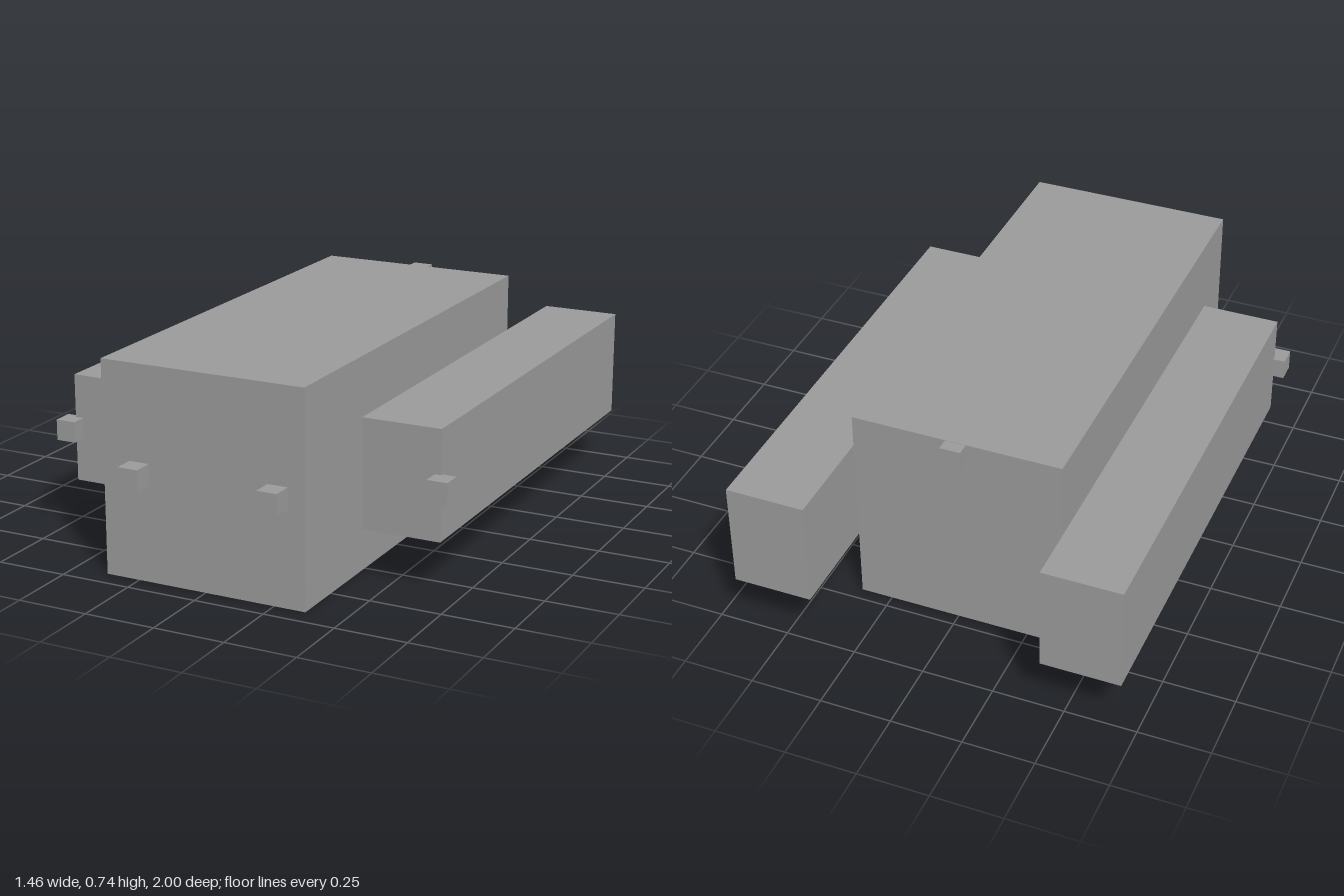
import * as THREE from 'three';

export function createModel() {
  const group = new THREE.Group();
  const grey = new THREE.MeshStandardMaterial({ color: 0x999999 });
  grey.name = 'grey';

  // Box given by its extents along each axis
  function block(name, [x0, x1], [y0, y1], [z0, z1]) {
    const mesh = new THREE.Mesh(new THREE.BoxGeometry(x1 - x0, y1 - y0, z1 - z0), grey);
    mesh.position.set((x0 + x1) / 2, (y0 + y1) / 2, (z0 + z1) / 2);
    mesh.name = name;
    group.add(mesh);
  }

  // Central hull and the two long side pods
  block('mainBody', [-0.373, 0.362], [0, 0.738], [-0.704, 0.928]);
  block('leftPod', [0.402, 0.68], [0.18, 0.56], [-1, 0.607]);
  block('rightPod', [-0.692, -0.415], [0.18, 0.56], [-1, 0.607]);

  // Small cubes on the hull's front face
  const studY = [0.334, 0.407];
  block('leftFrontStud', [0.23, 0.302], studY, [0.928, 1]);
  block('rightFrontStud', [-0.275, -0.203], studY, [0.928, 1]);

  // Small cubes at the outer front corners of the pods
  block('leftPodStud', [0.657, 0.729], studY, [0.597, 0.669]);
  block('rightPodStud', [-0.735, -0.663], studY, [0.589, 0.661]);

  // Small cube set into the top of the hull's back face
  block('rearStud', [-0.041, 0.031], [0.665, 0.737], [-0.748, -0.676]);

  return group;
}
